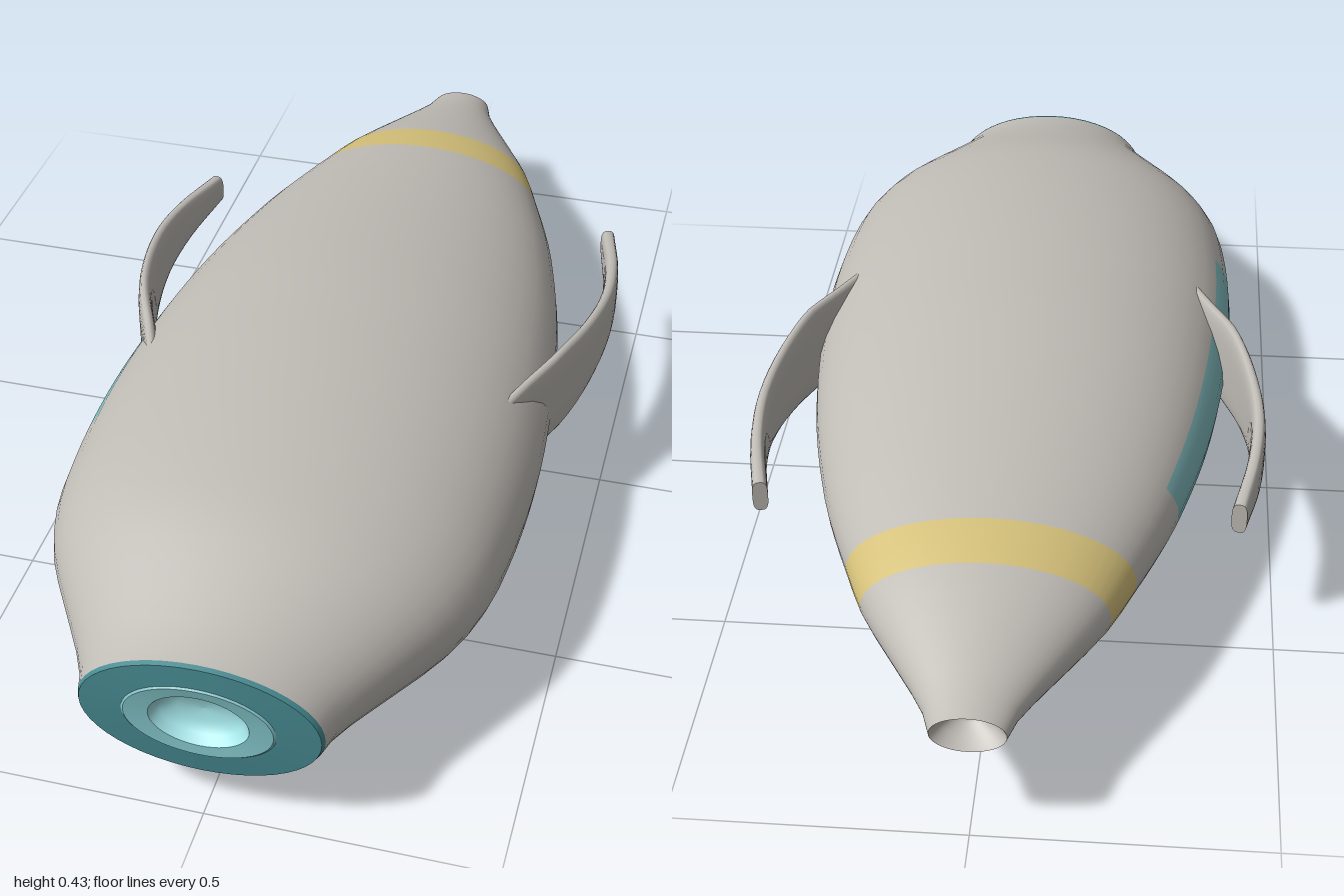
import * as THREE from 'three';

const mat = (name, color) => {
  const m = new THREE.MeshStandardMaterial({ color });
  m.name = name;
  return m;
};

const SEG = 48;
const CY = 0.215; // height of the hull axis

// Skin a list of closed rings; pick(row, column) chooses a material index.
// A repeated ring gives a hard edge.
function loft(name, rings, materials, pick = () => 0) {
  const n = rings[0].length;
  const lists = materials.map(() => []);
  for (let i = 0; i < rings.length - 1; i++) {
    for (let j = 0; j < n; j++) {
      const k = (j + 1) % n;
      const a = i * n + j, b = i * n + k, c = a + n, d = b + n;
      lists[pick(i, j)].push(a, b, c, b, d, c);
    }
  }
  const geo = new THREE.BufferGeometry().setFromPoints(rings.flat());
  geo.setIndex(lists.flat());
  let start = 0;
  lists.forEach((list, m) => {
    geo.addGroup(start, list.length, m);
    start += list.length;
  });
  geo.computeVertexNormals();
  const mesh = new THREE.Mesh(geo, materials.length > 1 ? materials : materials[0]);
  mesh.name = name;
  return mesh;
}

// Elliptical ring across the hull
const ellipse = ([z, rx, ry]) => Array.from({ length: SEG }, (_, j) => {
  const a = (j / SEG) * Math.PI * 2;
  return new THREE.Vector3(rx * Math.cos(a), CY + ry * Math.sin(a), z);
});

// Hull stations: z, half width, half height
const STATIONS = [
  [-1, 0.062, 0.034], [-0.95, 0.077, 0.042], [-0.9, 0.102, 0.055], [-0.8, 0.158, 0.081],
  [-0.7, 0.212, 0.106], [-0.6, 0.251, 0.124], [-0.5, 0.288, 0.139], [-0.4, 0.32, 0.154],
  [-0.2, 0.367, 0.182], [0, 0.397, 0.204], [0.2, 0.413, 0.214], [0.3, 0.416, 0.215],
  [0.4, 0.414, 0.213], [0.5, 0.407, 0.208], [0.6, 0.393, 0.199], [0.7, 0.359, 0.185],
  [0.8, 0.302, 0.159], [0.9, 0.242, 0.132], [0.95, 0.217, 0.121], [0.985, 0.207, 0.117],
];

// Smooth cubic interpolation between stations
function station(z) {
  const last = STATIONS.length - 1;
  let i = 0;
  while (i < last - 1 && STATIONS[i + 1][0] < z) i++;
  const [p, q] = [STATIONS[i], STATIONS[i + 1]];
  const before = STATIONS[Math.max(i - 1, 0)], after = STATIONS[Math.min(i + 2, last)];
  const h = q[0] - p[0], t = (z - p[0]) / h;
  const value = (c) => {
    const m0 = (q[c] - before[c]) / (q[0] - before[0]) * h;
    const m1 = (after[c] - p[c]) / (after[0] - p[0]) * h;
    return (2 * t ** 3 - 3 * t ** 2 + 1) * p[c] + (t ** 3 - 2 * t ** 2 + t) * m0
      + (3 * t ** 2 - 2 * t ** 3) * q[c] + (t ** 3 - t ** 2) * m1;
  };
  return [z, value(1), value(2)];
}

// Curved swept-back fin; side is +1 or -1
function fin(side, material) {
  const path = new THREE.CatmullRomCurve3([
    [0.33, 0.24], [0.368, 0.15], [0.412, 0.05], [0.445, -0.07],
    [0.461, -0.2], [0.453, -0.32], [0.425, -0.455],
  ].map(([x, z]) => new THREE.Vector3(x, 0, z)));
  const soft = (v) => Math.sign(v) * Math.abs(v) ** 0.65;
  const section = (t, scale = 1) => {
    const p = path.getPoint(t), d = path.getTangent(t);
    const taper = THREE.MathUtils.clamp((0.04 - p.z) / 0.495, 0, 1);
    const top = THREE.MathUtils.lerp(p.z > 0.04 ? 0.345 - (p.z - 0.04) * 0.06 : 0.345, 0.285, taper);
    const bottom = THREE.MathUtils.lerp(0.163, 0.225, taper);
    const half = (top - bottom) / 2 * scale, thick = 0.014 * scale;
    return Array.from({ length: 24 }, (_, j) => {
      const a = -side * (j / 24) * Math.PI * 2;
      const w = soft(Math.cos(a)) * thick;
      return new THREE.Vector3(
        side * (p.x - d.z * w), (top + bottom) / 2 + soft(Math.sin(a)) * half, p.z + d.x * w);
    });
  };
  const rings = [section(0, 0), section(0), section(0)];
  for (let i = 1; i <= 24; i++) rings.push(section(i / 24));
  rings.push(section(1), section(1, 0));
  return loft(side > 0 ? 'leftFin' : 'rightFin', rings, [material]);
}

export function createModel() {
  const hullGray = mat('hullGray', 0xbfbbb5);
  const bandYellow = mat('bandYellow', 0xd4c07a);
  const stripeCyan = mat('stripeCyan', 0x80b8bb);
  const deepTeal = mat('deepTeal', 0x468990);
  const ringTeal = mat('ringTeal', 0x7fbfc3);
  const coreCyan = mat('coreCyan', 0xa2e2e6);

  const group = new THREE.Group();
  group.name = 'model';

  // Hull with a yellow tail band and a stripe on its right side only
  const zs = Array.from({ length: 40 }, (_, i) => -1 + i * 0.05).concat(0.985);
  group.add(loft('hull', zs.map((z) => ellipse(station(z))), [hullGray, bandYellow, stripeCyan], (i, j) => {
    const z = (zs[i] + zs[i + 1]) / 2;
    if (z > -0.7 && z < -0.6) return 1;
    return Math.abs(z) < 0.4 && Math.abs(j + 0.5 - SEG / 2) < 3 ? 2 : 0;
  }));

  // Hollow tail end
  group.add(loft('tailHollow', [
    [-0.95, 0, 0], [-0.955, 0.025, 0.014], [-0.975, 0.045, 0.025], [-1, 0.062, 0.034],
  ].map(ellipse), [hullGray]));

  // Nose: dark collar, pale ring and a dished core
  group.add(loft('noseCollar', [
    [0.985, 0.207, 0.117], [0.994, 0.203, 0.115], [0.994, 0.203, 0.115], [0.997, 0.13, 0.075],
  ].map(ellipse), [deepTeal]));
  group.add(loft('noseRing', [
    [0.997, 0.13, 0.075], [1, 0.126, 0.072], [1, 0.126, 0.072], [0.997, 0.085, 0.054],
  ].map(ellipse), [ringTeal]));
  group.add(loft('noseCore', [
    [0.997, 0.085, 0.054], [0.978, 0.072, 0.045], [0.968, 0.045, 0.028], [0.965, 0, 0],
  ].map(ellipse), [coreCyan]));

  // Side fins
  for (const side of [1, -1]) group.add(fin(side, hullGray));

  return group;
}
